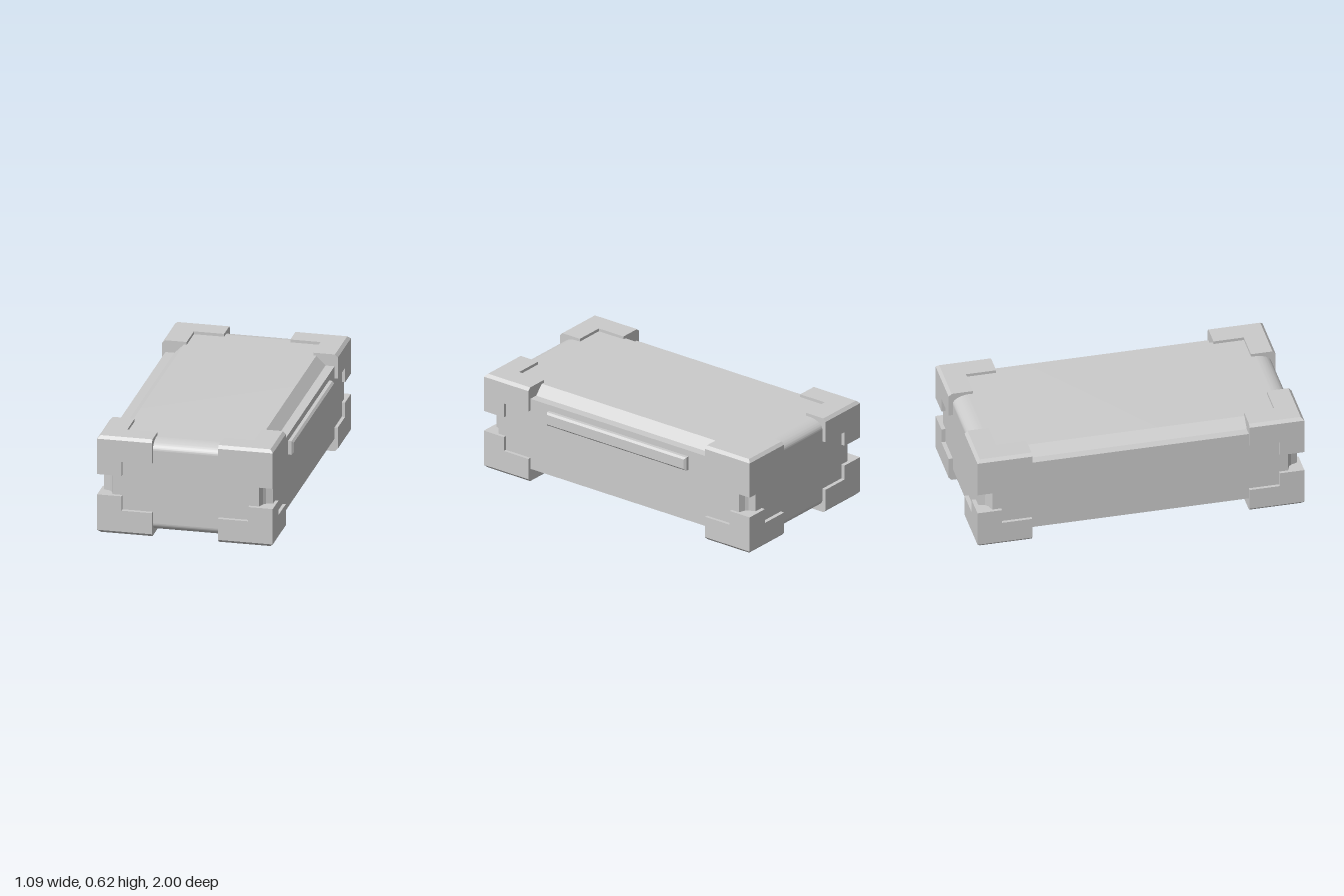
import * as THREE from 'three';
import { mergeGeometries, toCreasedNormals } from 'three/addons/utils/BufferGeometryUtils.js';

const grey = new THREE.MeshStandardMaterial({ color: 0xcccccc });
const polygon = (pts) => new THREE.Shape(pts.map(([x, y]) => new THREE.Vector2(x, y)));

// Move every vertex of a geometry by a rule, then rebuild its normals
function reshape(geometry, rule) {
  const p = geometry.attributes.position;
  const v = new THREE.Vector3();
  for (let i = 0; i < p.count; i++) {
    rule(v.fromBufferAttribute(p, i));
    p.setXYZ(i, v.x, v.y, v.z);
  }
  return toCreasedNormals(geometry, 0.5);
}

function part(name, geometry, parent) {
  const mesh = new THREE.Mesh(geometry, grey);
  mesh.name = name;
  parent.add(mesh);
  return mesh;
}

// Main block: a rectangle whose four upright edges are scooped out
function bodyGeometry(hx, hz, height) {
  const cove = [[0, 0.07], [0.04, 0.055], [0.055, 0.04], [0.07, 0]];
  const pts = [];
  for (const [sx, sy] of [[1, 1], [-1, 1], [-1, -1], [1, -1]]) {
    const corner = cove.map(([a, b]) => [sx * (hx - a), sy * (hz - b)]);
    pts.push(...(sx * sy > 0 ? corner : corner.reverse()));
  }
  const g = new THREE.ExtrudeGeometry(polygon(pts), { depth: height, bevelEnabled: false });
  return g.rotateX(-Math.PI / 2).translate(0, -height / 2, 0);
}

// Raised panel: ends rounded over, long sides sloping inwards
function panelGeometry(hx, hz, height) {
  const s = new THREE.Shape();
  s.moveTo(-hz, 0);
  s.lineTo(hz, 0);
  s.absellipse(hz - 0.1, 0, 0.1, height, 0, Math.PI / 2, false, 0);
  s.absellipse(-hz + 0.1, 0, 0.1, height, Math.PI / 2, Math.PI, false, 0);
  const g = new THREE.ExtrudeGeometry(s, { depth: 2 * hx, bevelEnabled: false, curveSegments: 10 });
  g.rotateY(Math.PI / 2).translate(-hx, 0, 0);
  return reshape(g, (v) => { v.x = Math.sign(v.x) * (hx - v.y); });
}

// Corner guard with its outer corner at x = z = 0, reaching to -x and -z
function guardGeometry(top) {
  const long = 0.335, short = 0.15, h = 0.152, leg = 0.091, chamfer = 0.018;
  const outline = [[0, 0], [0, long], [-short, long], [-short, short], [-long, short], [-long, 0]];
  const cap = new THREE.ExtrudeGeometry(polygon(outline), { depth: h, steps: 2, bevelEnabled: false });
  cap.rotateX(-Math.PI / 2).translate(0, top - h, 0);
  const shaped = reshape(cap, (v) => {
    if (v.y > top - 0.001) {
      if (v.x > -0.001) v.x = -chamfer;
      if (v.z > -0.001) v.z = -chamfer;
    } else if (v.y > top - h + 0.001) v.y = top - chamfer;
  });
  const post = new THREE.BoxGeometry(short, leg, short).toNonIndexed();
  post.translate(-short / 2, top - h - leg / 2, -short / 2);
  return mergeGeometries([shaped, post]);
}

export function createModel() {
  const model = new THREE.Group();
  model.name = 'protectedCase';
  const shell = new THREE.Group();
  shell.name = 'shell';
  shell.position.x = -0.0075;
  model.add(shell);

  // Body with a panel above and below
  const midY = 0.31, halfBody = 0.23;
  part('body', bodyGeometry(0.5175, 0.975, 2 * halfBody), shell).position.y = midY;
  const panel = panelGeometry(0.4625, 0.975, 0.057);
  part('topPanel', panel, shell).position.y = midY + halfBody;
  const bottom = part('bottomPanel', panel, shell);
  bottom.position.y = midY - halfBody;
  bottom.rotation.x = Math.PI;

  // Eight corner guards
  const guard = guardGeometry(0.3075);
  const corners = [[1, 1], [1, -1], [-1, -1], [-1, 1]];
  for (const up of [1, -1]) {
    corners.forEach(([sx, sz], k) => {
      const mesh = part(up > 0 ? 'upperCornerGuard' : 'lowerCornerGuard', guard, shell);
      mesh.rotation.set(up > 0 ? 0 : Math.PI, k * Math.PI / 2, 0);
      mesh.position.set(sx * 0.5375, 0.3075, sz * up);
    });
  }

  // Bevelled strip on the left side only
  const strip = new THREE.ExtrudeGeometry(
    polygon([[-0.513, -0.031], [0.513, -0.031], [0.513, 0.031], [-0.513, 0.031]]),
    { depth: 0.04, bevelSize: 0.012, bevelThickness: 0.012, bevelSegments: 1 });
  strip.rotateY(Math.PI / 2);
  part('sideStrip', strip, model).position.set(0.491, 0.4575, 0);

  return model;
}
